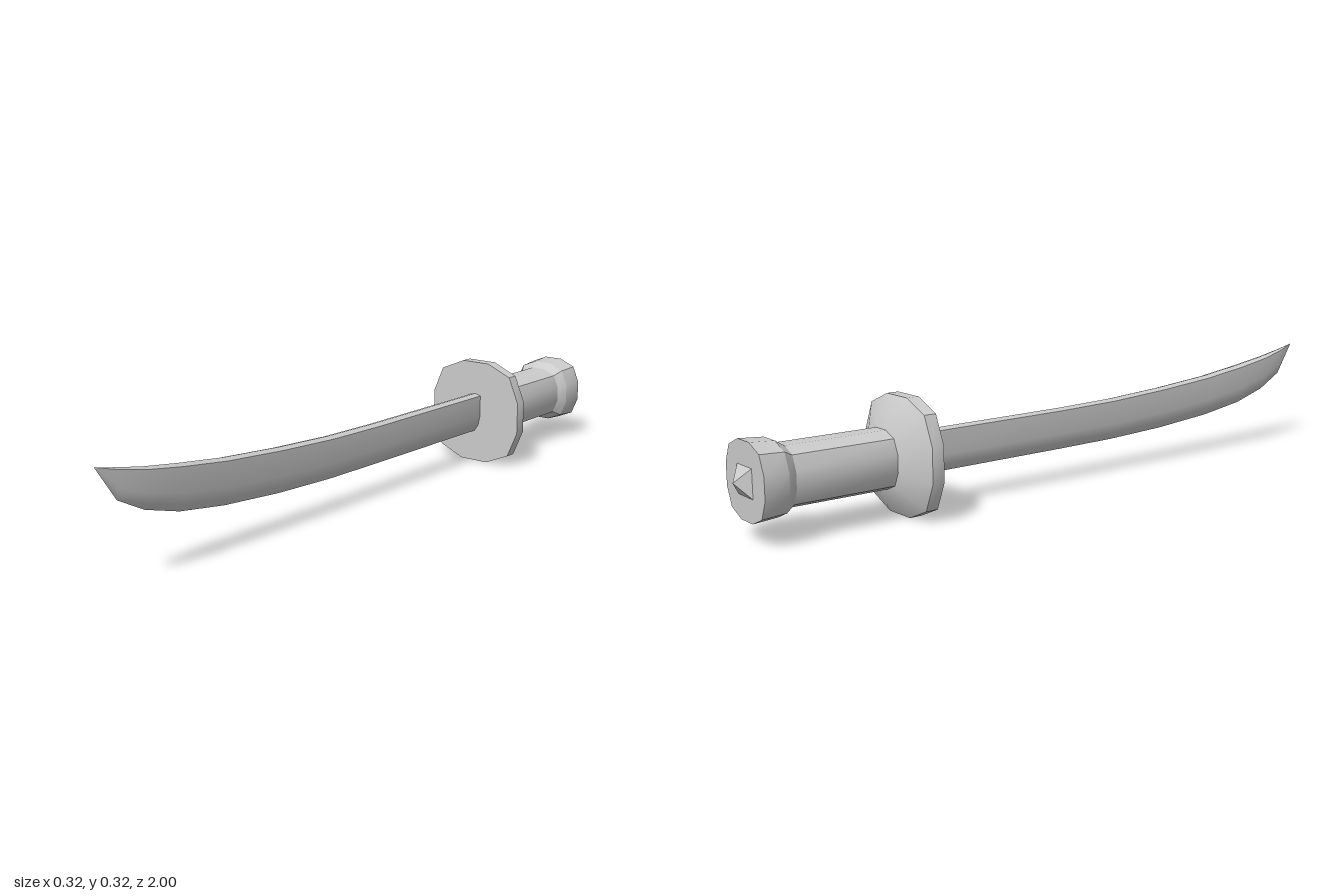
import * as THREE from 'three';
import { toCreasedNormals } from 'three/addons/utils/BufferGeometryUtils.js';

const AXIS_Y = 0.158; // height of the handle axis
const material = new THREE.MeshStandardMaterial({ color: 0xcccccc });

// Skin a row of closed rings (front to back, counter-clockwise from the front) and cap both ends.
function loft(rings, crease = 0.6) {
  const pos = [];
  const tri = (a, b, c) => {
    if (new THREE.Triangle(a, b, c).getArea() > 1e-9) {
      for (const p of [a, b, c]) pos.push(p.x, p.y, p.z);
    }
  };
  const n = rings[0].length;
  for (let i = 0; i < rings.length - 1; i++) {
    for (let j = 0; j < n; j++) {
      const k = (j + 1) % n;
      const a = rings[i][j], b = rings[i][k], c = rings[i + 1][k], d = rings[i + 1][j];
      tri(a, d, c);
      tri(a, c, b);
    }
  }
  const first = rings[0], last = rings[rings.length - 1];
  for (let j = 1; j < n - 1; j++) {
    tri(first[0], first[j], first[j + 1]);
    tri(last[0], last[j + 1], last[j]);
  }
  const geometry = new THREE.BufferGeometry();
  geometry.setAttribute('position', new THREE.Float32BufferAttribute(pos, 3));
  return toCreasedNormals(geometry, crease);
}

// Twelve-sided rounded square with the given half width
function handleRing([z, half]) {
  const corner = [[1, -0.3], [1, 0.3], [0.79, 0.79]];
  const ring = [];
  for (let q = 0; q < 4; q++) {
    const c = Math.round(Math.cos(q * Math.PI / 2)), s = Math.round(Math.sin(q * Math.PI / 2));
    for (const [x, y] of corner) {
      ring.push(new THREE.Vector3((x * c - y * s) * half, AXIS_Y + (x * s + y * c) * half, z));
    }
  }
  return ring;
}

// Blade section: sharp lower edge, bellied sides and a slightly ridged spine
function bladeRing([z, edge, spine, half]) {
  const h = spine - edge;
  const side = [[0.68, 0.17], [1, 0.4], [1, 0.955]];
  const at = (x, t) => new THREE.Vector3(x * half, edge + t * h, z);
  return [
    at(0, 0),
    ...side.map(([x, t]) => at(x, t)),
    at(0, 1),
    ...side.slice().reverse().map(([x, t]) => at(-x, t)),
  ];
}

export function createModel() {
  const group = new THREE.Group();
  const add = (name, geometry) => {
    const mesh = new THREE.Mesh(geometry, material);
    mesh.name = name;
    group.add(mesh);
    return mesh;
  };

  // Curved blade: z, lower edge, spine, half thickness
  add('blade', loft([
    [1.0, 0.313, 0.313, 0],
    [0.94, 0.221, 0.3, 0.01],
    [0.86, 0.178, 0.284, 0.017],
    [0.75, 0.146, 0.268, 0.02],
    [0.6, 0.124, 0.249, 0.02],
    [0.4, 0.108, 0.233, 0.02],
    [0.2, 0.1, 0.222, 0.02],
    [0, 0.098, 0.218, 0.02],
    [-0.52, 0.096, 0.216, 0.02],
  ].map(bladeRing)));

  // Guard plate with a sloping back
  add('guard', loft([[-0.502, 0.158], [-0.537, 0.158], [-0.588, 0.078]].map(handleRing)));

  // Straight grip
  add('grip', loft([[-0.58, 0.078], [-0.88, 0.078]].map(handleRing)));

  // Flared pommel
  add('pommel', loft([[-0.873, 0.078], [-0.9, 0.095], [-0.968, 0.1]].map(handleRing), 0.45));

  // Four-sided stud on the end of the pommel
  const stud = new THREE.ConeGeometry(0.057, 0.034, 4).toNonIndexed();
  stud.rotateY(Math.PI / 4).rotateX(-Math.PI / 2);
  stud.computeVertexNormals();
  add('pommelStud', stud).position.set(0, AXIS_Y, -0.983);

  return group;
}
